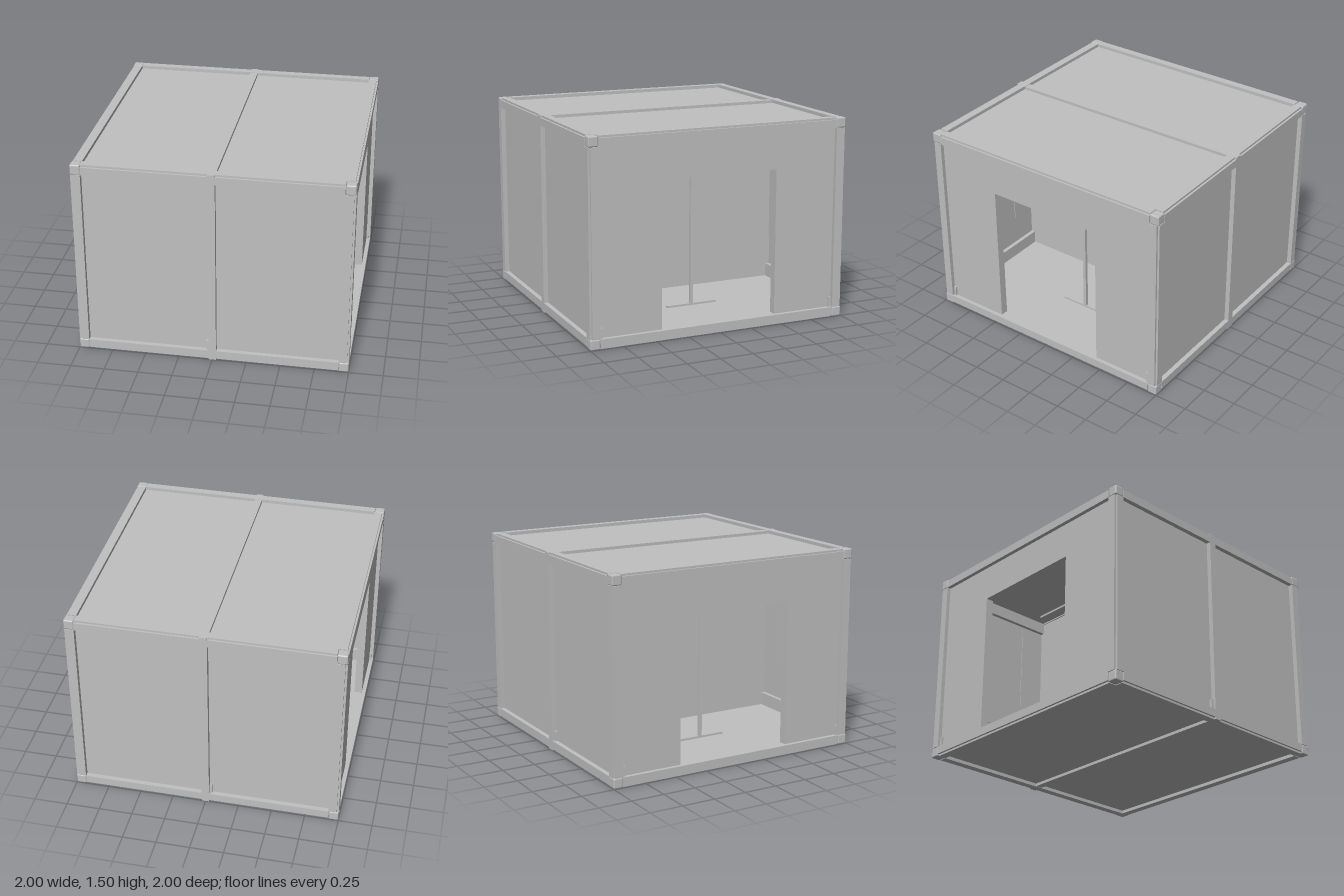
import * as THREE from 'three';
import { RoundedBoxGeometry } from 'three/addons/geometries/RoundedBoxGeometry.js';

export function createModel() {
  const root = new THREE.Group();
  const grey = new THREE.MeshStandardMaterial({ color: 0xc0c0c0 });
  grey.name = 'lightGrey';

  const group = (name) => {
    const g = new THREE.Group();
    g.name = name;
    root.add(g);
    return g;
  };
  const add = (parent, name, geometry, x, y, z) => {
    const m = new THREE.Mesh(geometry, grey);
    m.name = name;
    m.position.set(x, y, z);
    parent.add(m);
    return m;
  };
  // Box between two corners
  const box = (parent, name, x0, x1, y0, y1, z0, z1) =>
    add(parent, name, new THREE.BoxGeometry(Math.abs(x1 - x0), Math.abs(y1 - y0), Math.abs(z1 - z0)),
      (x0 + x1) / 2, (y0 + y1) / 2, (z0 + z1) / 2);

  // Square bar with a small step cut from its outer edge
  const T = 0.075, N = 0.015, H = 1.5;
  const steppedBar = (parent, name, length) => {
    const s = new THREE.Shape();
    [[0, 0], [T, 0], [T, T - N], [T - N, T - N], [T - N, T], [0, T]]
      .forEach(([u, v], i) => (i ? s.lineTo(u, v) : s.moveTo(u, v)));
    const geo = new THREE.ExtrudeGeometry(s, { depth: length, bevelEnabled: false });
    geo.translate(-T, -T, -length / 2);
    return add(parent, name, geo, 0, 0, 0);
  };

  // Frame: four bars along each axis, turned about that axis
  const frame = group('frame');
  const span = 2 - 2 * T;
  for (const sx of [-1, 1]) {
    for (const sy of [-1, 1]) {
      const turn = sy > 0 ? (sx > 0 ? 0 : Math.PI / 2) : (sx > 0 ? -Math.PI / 2 : Math.PI);
      const y = sy > 0 ? H : 0;

      const side = new THREE.Group();
      steppedBar(side, 'sideBeam', span).rotation.z = turn;
      side.position.set(sx, y, 0);
      frame.add(side);

      const end = new THREE.Group();
      steppedBar(end, 'endBeam', span).rotation.z = turn;
      end.rotation.y = Math.PI / 2;
      end.position.set(0, y, -sx);
      frame.add(end);

      const post = new THREE.Group();
      steppedBar(post, 'cornerPost', H - 2 * T).rotation.z = turn;
      post.rotation.x = -Math.PI / 2;
      post.position.set(sx, H / 2, -sy);
      frame.add(post);

      // Corner blocks
      for (const sz of [-1, 1]) {
        add(frame, 'cornerBlock', new RoundedBoxGeometry(T, T, T, 1, 0.01),
          sx * (1 - T / 2), y - sy * T / 2, sz * (1 - T / 2));
      }
    }
  }

  // Centre ring joining the two halves
  for (const s of [-1, 1]) {
    box(frame, 'middlePost', -0.028, 0.028, 0, H, s * 0.92, s);
  }
  box(frame, 'roofJoint', -0.028, 0.028, 1.42, 1.497, -0.93, 0.93);
  box(frame, 'floorJoint', -0.028, 0.028, 0.003, 0.07, -0.93, 0.93);

  // Floor and roof
  const shell = group('shell');
  for (const s of [-1, 1]) {
    box(shell, 'floorPanel', s * 0.02, s * 0.95, 0.025, 0.07, -0.95, 0.95);
    box(shell, 'roofPanel', s * 0.02, s * 0.95, 1.43, 1.475, -0.95, 0.95);
  }

  // End walls with inner rails and three inset boards
  const endWalls = group('endWalls');
  for (const s of [-1, 1]) {
    box(endWalls, 'endWall', -0.95, 0.95, 0.06, 1.44, s * 0.92, s * 0.965);
    for (const h of [-1, 1]) {
      box(endWalls, 'skirtingRail', h * 0.02, h * 0.92, 0.07, 0.17, s * 0.89, s * 0.925);
      box(endWalls, 'ceilingRail', h * 0.02, h * 0.92, 1.34, 1.43, s * 0.89, s * 0.925);
    }
    for (const x of [-0.61, 0, 0.61]) {
      box(endWalls, 'wallBoard', x - 0.225, x + 0.225, 0.4, 1.31, s * 0.915, s * 0.922);
    }
    box(endWalls, 'endSocket', -0.05, -0.03, 0.07, 0.15, s * 0.96, s * 0.985);
  }

  // Side walls, each with a wide doorway
  const sideWalls = group('sideWalls');
  for (const s of [-1, 1]) {
    for (const k of [-1, 1]) {
      box(sideWalls, 'sidePanel', s * 0.91, s * 0.97, 0.06, 1.44, k * 0.45, k * 0.95);
      box(sideWalls, 'sideSocket', s * 0.96, s * 0.985, 0.07, 0.15, k * 0.902, k * 0.92);
    }
    box(sideWalls, 'lintel', s * 0.91, s * 0.97, 1.155, 1.44, -0.45, 0.45);
  }

  // Middle partition
  box(shell, 'partition', -0.02, 0.02, 0.06, 1.44, -0.93, 0.93);

  // Hanging rack in each half: pole, foot and cross rail
  for (const s of [-1, 1]) {
    const rack = group('hangingRack');
    const x = s * 0.5;
    box(rack, 'rackPole', x - 0.012, x + 0.012, 0.07, 1.15, -0.012, 0.012);
    box(rack, 'rackFoot', x - 0.012, x + 0.012, 0.07, 0.085, -0.2, 0.2);
    box(rack, 'rackRail', x - 0.008, x + 0.008, 1.12, 1.135, -0.36, 0.36);
  }

  return root;
}
